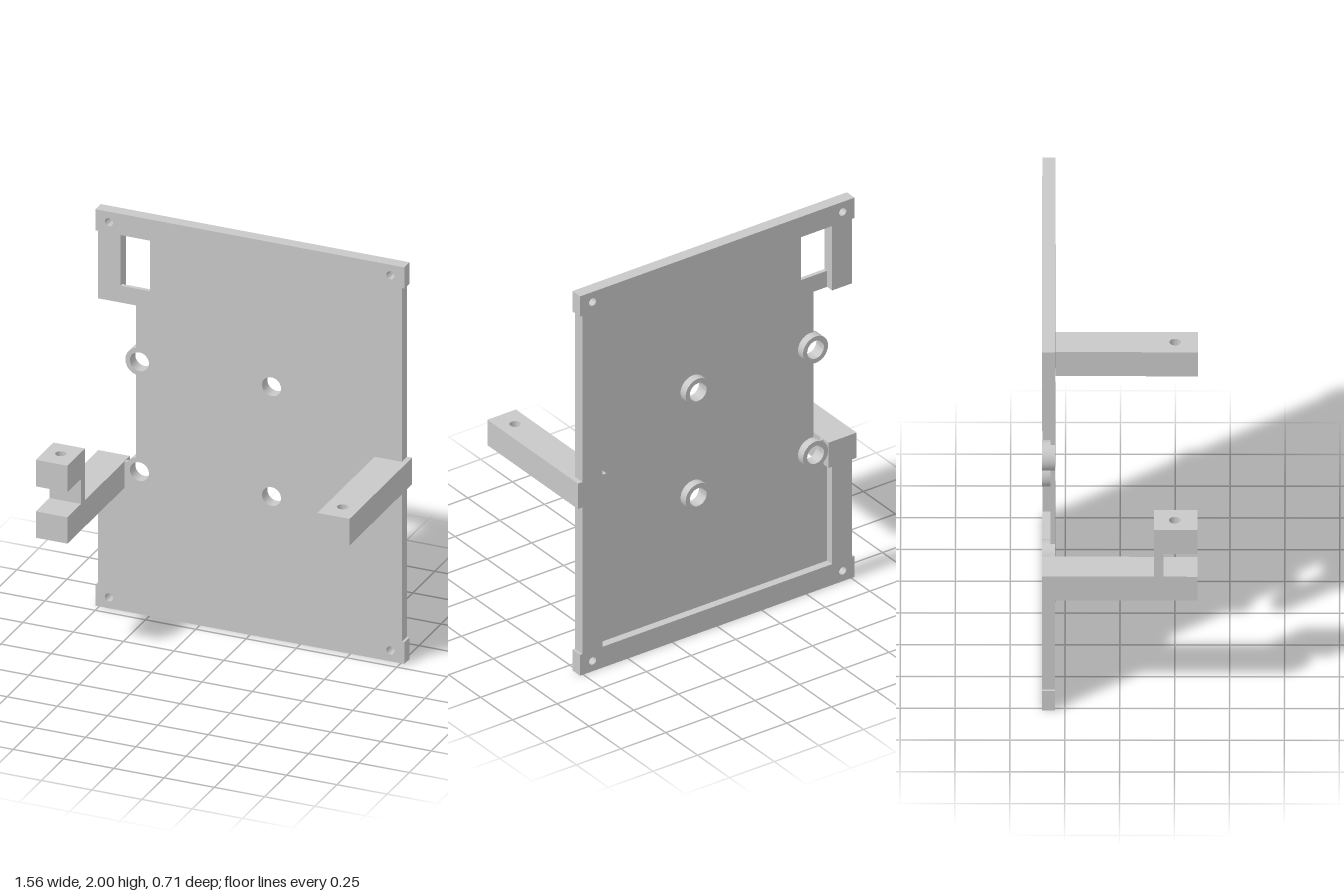
import * as THREE from 'three';
import { toCreasedNormals } from 'three/addons/utils/BufferGeometryUtils.js';

const BACK = -0.355, STEP = -0.315, FRONT = -0.295, TIP = 0.355;
const BOSS_R = 0.07, BORE_R = 0.047;
const CUT_X = -0.566, CUT_LOW = 0.755, CUT_HIGH = 1.553;
const bosses = [[-0.55, 1.272], [0.107, 1.272], [-0.55, 0.718], [0.107, 0.718]];
const screws = [[-0.702, 1.947], [0.698, 1.947], [-0.702, 0.055], [0.698, 0.055]];

const polygon = (pts) => new THREE.Shape(pts.map(([x, y]) => new THREE.Vector2(x, y)));
const rect = (x0, x1, y0, y1) => polygon([[x0, y0], [x1, y0], [x1, y1], [x0, y1]]);

function addHole(shape, x, y, r) {
  shape.holes.push(new THREE.Path().absarc(x, y, r, 0, Math.PI * 2, true));
}

function extrude(shape, depth) {
  const geo = new THREE.ExtrudeGeometry(shape, { depth, bevelEnabled: false, curveSegments: 20 });
  return toCreasedNormals(geo, 0.6);
}

// Outer edge, counter-clockwise from the lower left column to the upper left one, with corner ears
const outerEdge = [
  [-0.755, CUT_LOW], [-0.755, 0.11], [-0.768, 0.11], [-0.768, 0], [0.768, 0], [0.768, 0.11],
  [0.755, 0.11], [0.755, 1.893], [0.768, 1.893], [0.768, 2], [-0.768, 2], [-0.768, 1.893],
  [-0.755, 1.893], [-0.755, CUT_HIGH],
];

export function createModel() {
  const group = new THREE.Group();
  const grey = new THREE.MeshStandardMaterial({ color: 0xc8c8c8 });
  grey.name = 'light grey';

  const add = (name, geo, x = 0, y = 0, z = 0) => {
    const mesh = new THREE.Mesh(geo, grey);
    mesh.name = name;
    mesh.position.set(x, y, z);
    group.add(mesh);
  };
  const box = (name, x0, x1, y0, y1, z0, z1) => add(name,
    new THREE.BoxGeometry(x1 - x0, y1 - y0, z1 - z0), (x0 + x1) / 2, (y0 + y1) / 2, (z0 + z1) / 2);
  // Bar lying along z with a vertical hole near its tip
  const drilledBar = (name, x0, x1, y0, y1, z0, z1) => {
    const shape = rect(x0, x1, -z1, -z0);
    addHole(shape, (x0 + x1) / 2, -0.25, 0.026);
    add(name, extrude(shape, y1 - y0).rotateX(-Math.PI / 2), 0, y0);
  };

  // Thin front panel: side cut-out follows the two edge bosses
  const panel = polygon([...outerEdge, [CUT_X, CUT_HIGH]]);
  const [bx, upperY] = bosses[0], lowerY = bosses[2][1];
  const edge = Math.acos((CUT_X - bx) / BOSS_R);
  panel.absarc(bx, upperY, BOSS_R, edge, Math.PI * 2 - edge, false);
  panel.absarc(bx, lowerY, BOSS_R, edge, Math.PI - Math.asin((CUT_LOW - lowerY) / BOSS_R), false);
  panel.closePath();
  for (const [x, y] of bosses) addHole(panel, x, y, BORE_R);
  for (const [x, y] of screws) addHole(panel, x, y, 0.02);
  panel.holes.push(new THREE.Path([[-0.643, 1.638], [-0.643, 1.893], [-0.498, 1.893], [-0.498, 1.638]]
    .map(([x, y]) => new THREE.Vector2(x, y))));
  add('frontPanel', extrude(panel, FRONT - STEP), 0, 0, STEP);

  // Raised rim around the back, open where the side is cut out
  const rim = polygon([...outerEdge, [-0.643, CUT_HIGH], [-0.643, 1.893], [0.643, 1.893],
    [0.643, 0.11], [-0.643, 0.11], [-0.643, CUT_LOW]]);
  for (const [x, y] of screws) addHole(rim, x, y, 0.02);
  add('backRim', extrude(rim, STEP - BACK), 0, 0, BACK);

  // Ring bosses on the back
  const ring = new THREE.Shape().absarc(0, 0, BOSS_R, 0, Math.PI * 2, false);
  addHole(ring, 0, 0, BORE_R);
  const ringGeo = extrude(ring, STEP - BACK);
  for (const [x, y] of bosses) add('ringBoss', ringGeo, x, y, BACK);

  // Straight drilled arm on the left
  drilledBar('leftArm', 0.62, 0.78, 0.883, 1.017, BACK, TIP);

  // Stepped arm on the right: lower bar, post and drilled block
  box('rightArm', -0.78, -0.623, 0.624, 0.757, BACK, TIP);
  box('rightArmPost', -0.78, -0.623, 0.757, 0.883, 0.155, 0.2);
  drilledBar('rightArmBlock', -0.78, -0.623, 0.883, 1.017, 0.155, TIP);

  return group;
}
